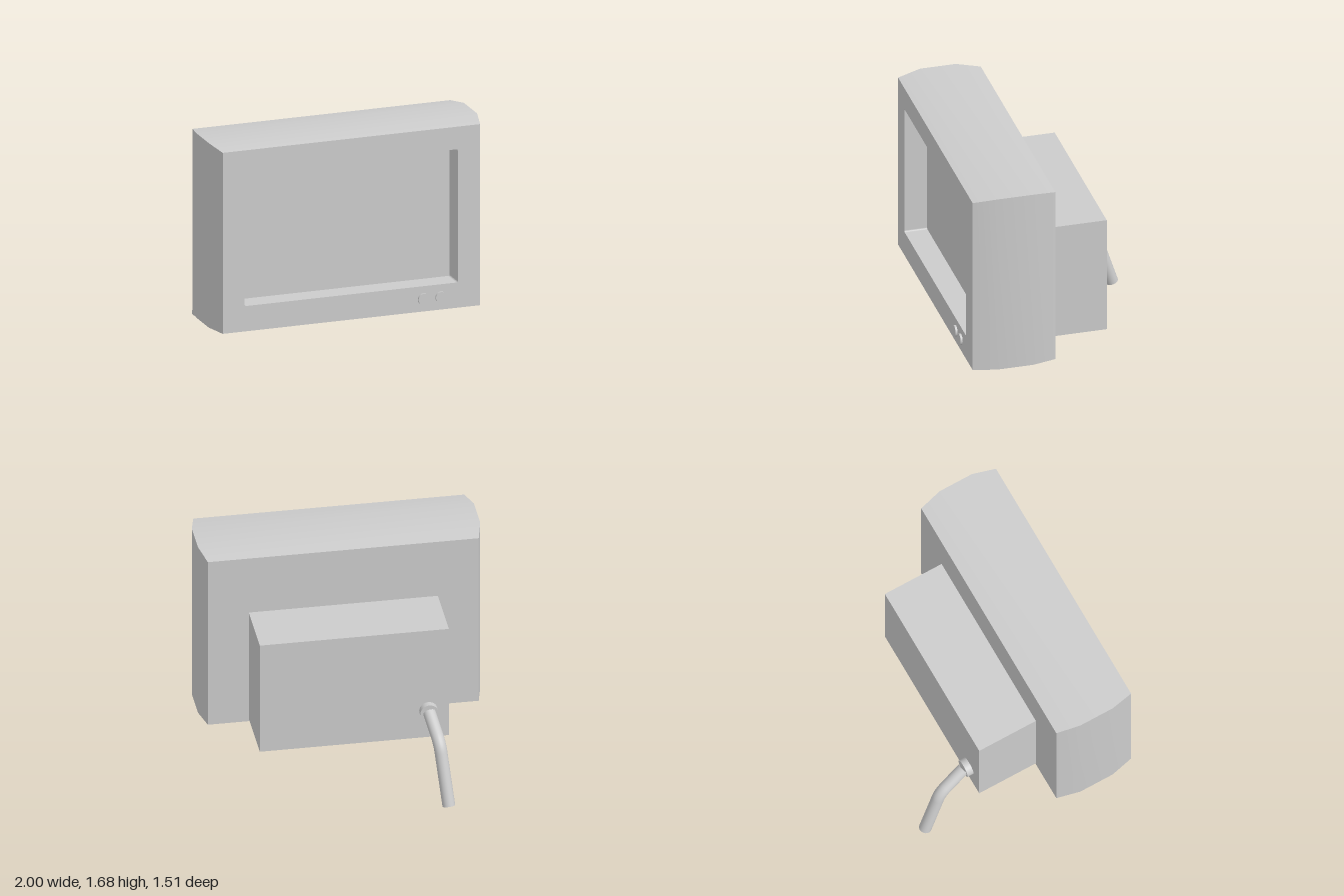
import * as THREE from 'three';

const material = new THREE.MeshStandardMaterial({ color: 0xcccccc });

function add(parent, name, geometry, x = 0, y = 0, z = 0) {
  const mesh = new THREE.Mesh(geometry, material);
  mesh.name = name;
  mesh.position.set(x, y, z);
  parent.add(mesh);
  return mesh;
}

// Surface through rows of points; it faces (row direction) x (column direction).
function sheet(rows, flat = false) {
  const n = rows[0].length, index = [];
  for (let r = 0; r < rows.length - 1; r++) {
    for (let c = 0; c < n - 1; c++) {
      const a = r * n + c, b = a + 1, d = a + n, e = d + 1;
      index.push(a, d, b, b, d, e);
    }
  }
  let g = new THREE.BufferGeometry();
  g.setAttribute('position', new THREE.Float32BufferAttribute(rows.flat(2), 3));
  g.setIndex(index);
  if (flat) g = g.toNonIndexed();
  g.computeVertexNormals();
  return g;
}

// Disc-shaped part whose axis runs along z
const disc = (radius, depth) => new THREE.CylinderGeometry(radius, radius, depth, 32).rotateX(Math.PI / 2);

// Rounded rectangle traced counter-clockwise
function roundedRect(path, x0, y0, x1, y1, r) {
  path.moveTo(x0 + r, y0);
  path.absarc(x1 - r, y0 + r, r, -Math.PI / 2, 0);
  path.absarc(x1 - r, y1 - r, r, 0, Math.PI / 2);
  path.absarc(x0 + r, y1 - r, r, Math.PI / 2, Math.PI);
  path.absarc(x0 + r, y0 + r, r, Math.PI, Math.PI * 1.5);
  return path;
}

export function createModel() {
  const model = new THREE.Group();
  model.name = 'television';

  // Casing: cross-sections from back to front as [z, half width, top]
  const casing = new THREE.Group();
  casing.name = 'casing';
  model.add(casing);
  const bottom = 0.33, frontZ = 0.74, screenZ = 0.575;
  const sections = [[0.14, 0.96, 1.655], [0.31, 1, 1.68], [0.57, 1, 1.68], [frontZ, 0.96, 1.655]];
  const loops = sections.map(([z, w, top]) =>
    [[-w, bottom, z], [-w, top, z], [w, top, z], [w, bottom, z], [-w, bottom, z]]);
  ['casingRight', 'casingTop', 'casingLeft', 'casingBottom'].forEach((name, i) =>
    add(casing, name, sheet(loops.map((loop) => [loop[i], loop[i + 1]]))));
  const back = loops[0];
  add(casing, 'casingBack', sheet([[back[0], back[3]], [back[1], back[2]]]));

  // Front bezel with the screen opening
  const bezel = new THREE.Shape([[-0.96, bottom], [0.96, bottom], [0.96, 1.655], [-0.96, 1.655]]
    .map((p) => new THREE.Vector2(...p)));
  const opening = roundedRect(new THREE.Path(), -0.797, 0.515, 0.793, 1.49, 0.012);
  bezel.holes.push(opening);
  add(casing, 'bezel', new THREE.ShapeGeometry(bezel, 4), 0, 0, frontZ);

  // Recess walls and the screen behind them
  const rim = opening.getPoints(4);
  rim.push(rim[0]);
  add(casing, 'screenRecess', sheet([screenZ, frontZ].map((z) => rim.map((p) => [p.x, p.y, z])), true));
  add(casing, 'screen', new THREE.PlaneGeometry(1.59, 0.975), -0.002, 1.0025, screenZ);

  // Control knobs
  for (const x of [0.535, 0.665]) add(model, 'knob', disc(0.04, 0.025), x, 0.423, 0.7425);

  // Rear housing
  add(model, 'rearHousing', new THREE.BoxGeometry(1.34, 0.865, 0.455), 0, 0.7825, -0.0875);

  // Cable: collar, bent tube and end cap
  add(model, 'cableCollar', disc(0.065, 0.055), -0.525, 0.568, -0.3345);
  const start = new THREE.Vector3(-0.525, 0.572, -0.355);
  const bend = new THREE.Vector3(-0.562, 0.44, -0.568);
  const end = new THREE.Vector3(-0.602, 0.015, -0.71);
  const bendIn = bend.clone().lerp(start, 0.25), bendOut = bend.clone().lerp(end, 0.14);
  const path = new THREE.CurvePath();
  path.add(new THREE.LineCurve3(start, bendIn));
  path.add(new THREE.QuadraticBezierCurve3(bendIn, bend, bendOut));
  path.add(new THREE.LineCurve3(bendOut, end));
  add(model, 'cable', new THREE.TubeGeometry(path, 40, 0.045, 24));
  const cap = add(model, 'cableEnd', new THREE.CircleGeometry(0.045, 24), end.x, end.y, end.z);
  cap.quaternion.setFromUnitVectors(new THREE.Vector3(0, 0, 1), end.clone().sub(bend).normalize());

  return model;
}
